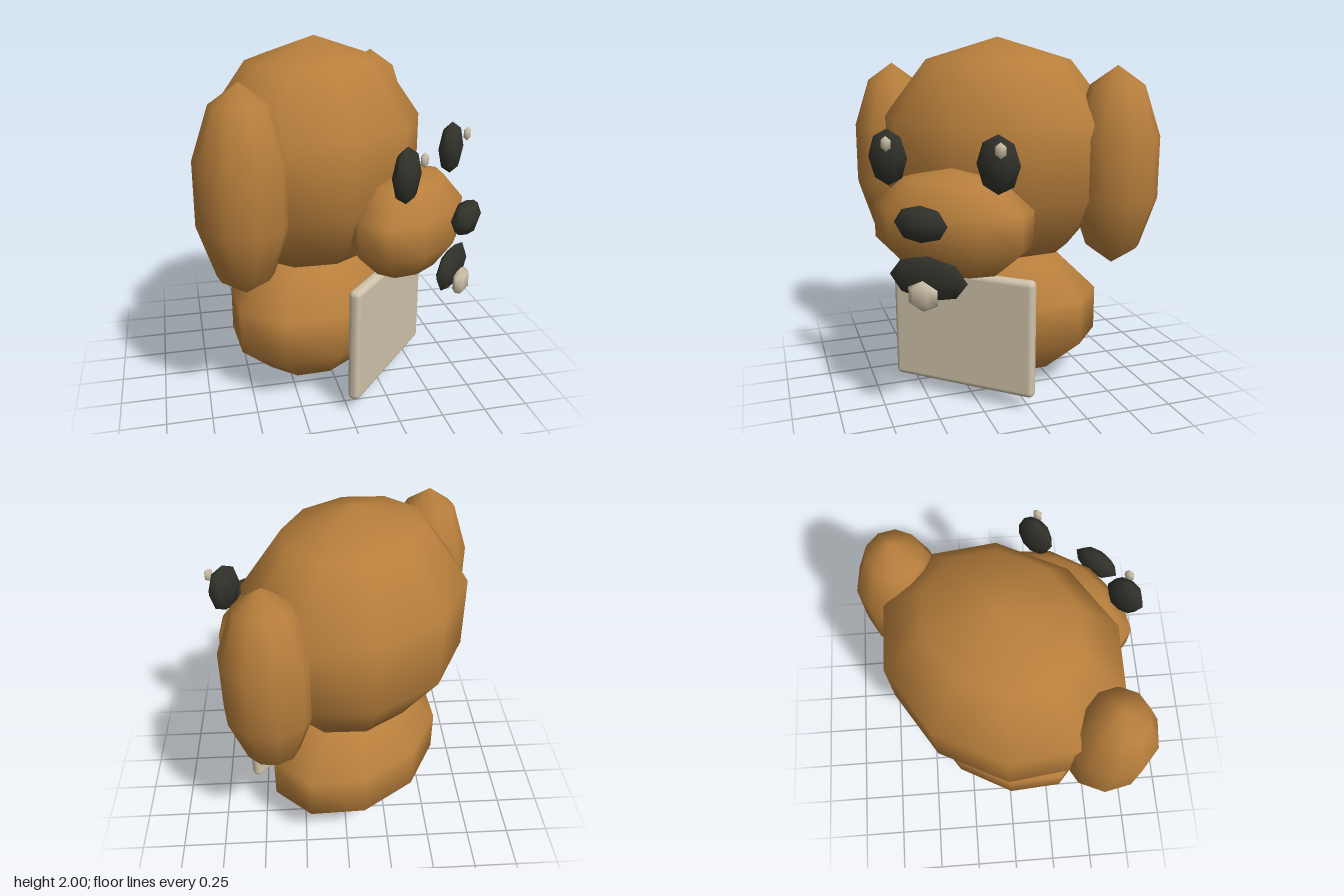
import * as THREE from 'three';
import { RoundedBoxGeometry } from 'three/addons/geometries/RoundedBoxGeometry.js';

const material = (name, color) => {
  const m = new THREE.MeshStandardMaterial({ color });
  m.name = name;
  return m;
};

export function createModel() {
  const brown = material('brown fur', 0xb87f3c);
  const dark = material('dark features', 0x31322a);
  const cream = material('cream', 0xcfc2aa);

  const model = new THREE.Group();
  model.name = 'dog';
  // The whole dog is turned toward its left
  model.position.set(-0.065, 0, -0.017);
  model.rotation.y = THREE.MathUtils.degToRad(48);

  // Low-poly spheres with a corner pointing straight ahead
  const coarse = new THREE.SphereGeometry(1, 10, 5, Math.PI / 2);
  const small = new THREE.SphereGeometry(1, 8, 4);
  const tiny = new THREE.SphereGeometry(1, 6, 3);

  const blob = (name, geometry, mat, position, radii) => {
    const mesh = new THREE.Mesh(geometry, mat);
    mesh.name = name;
    mesh.position.set(...position);
    mesh.scale.set(...radii);
    model.add(mesh);
    return mesh;
  };

  // Body, head and muzzle
  blob('body', coarse, brown, [0, 0.41, 0], [0.635, 0.41, 0.48]);
  blob('head', coarse, brown, [0, 1.337, 0], [0.726, 0.664, 0.607]);
  blob('muzzle', coarse, brown, [0, 1.04, 0.594], [0.47, 0.295, 0.28]);

  // Ears, eyes and eye highlights in pairs
  for (const [side, s] of [['left', 1], ['right', -1]]) {
    blob(side + 'Ear', coarse, brown, [s * 0.705, 1.3, 0], [0.253, 0.55, 0.253]);
    blob(side + 'Eye', small, dark, [s * 0.311, 1.39, 0.711], [0.117, 0.148, 0.062]);
    // Both glints sit on the same side of their eye
    blob(side + 'EyeHighlight', tiny, cream, [s * 0.314 + 0.041, 1.47, 0.785], [0.033, 0.04, 0.02]);
  }

  // Nose, mouth and tooth
  blob('nose', small, dark, [-0.004, 1.113, 0.927], [0.147, 0.093, 0.066]);
  blob('mouth', small, dark, [-0.004, 0.82, 0.865], [0.22, 0.117, 0.042]);
  blob('tooth', tiny, cream, [-0.004, 0.745, 0.92], [0.095, 0.08, 0.04]);

  // Rounded board in front of the body
  const board = new THREE.Mesh(new RoundedBoxGeometry(0.85, 0.665, 0.07, 3, 0.03), cream);
  board.name = 'board';
  board.position.set(0.002, 0.412, 0.483);
  model.add(board);

  const group = new THREE.Group();
  group.name = 'dogModel';
  group.add(model);
  return group;
}
